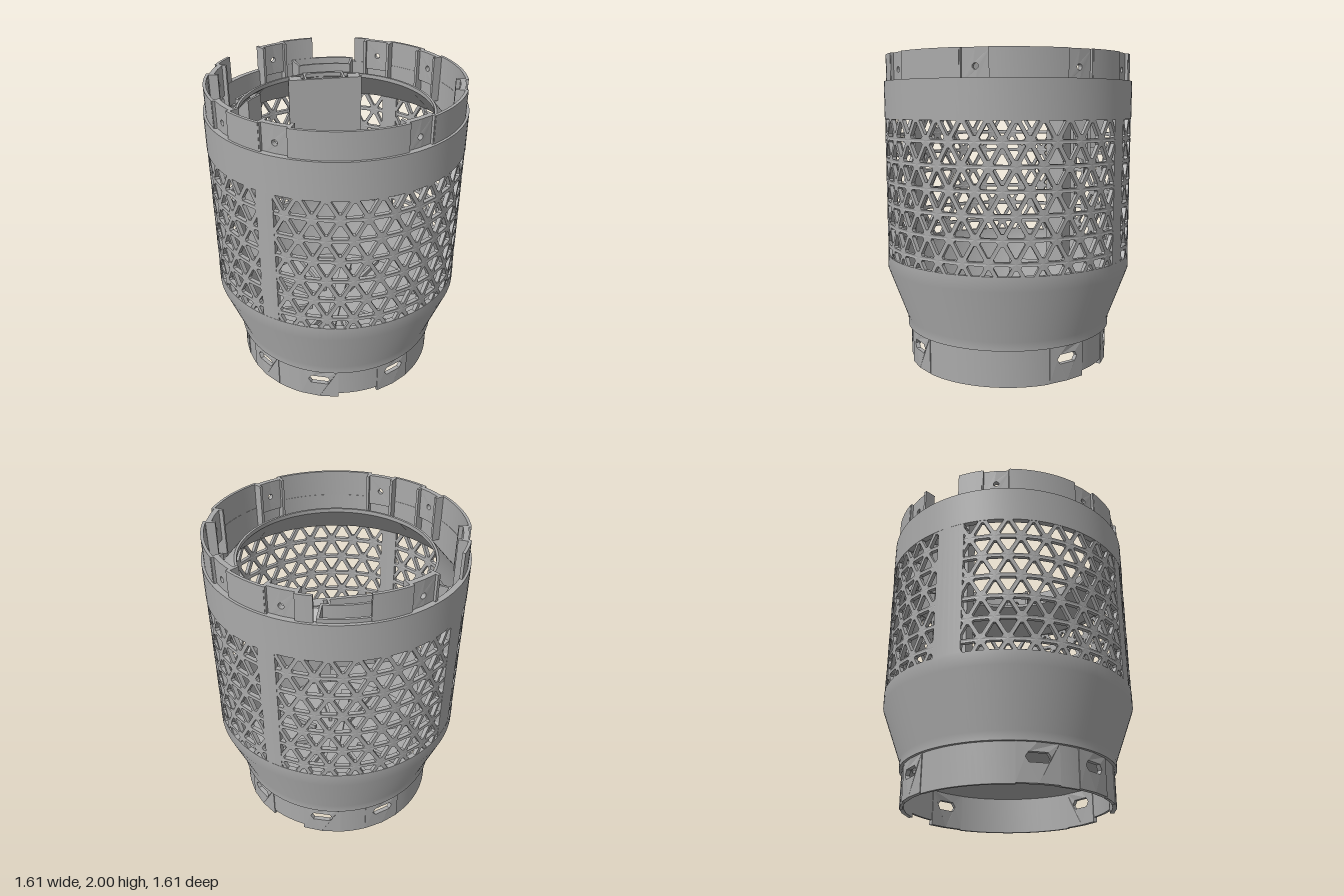
import * as THREE from 'three';
import { mergeGeometries, toCreasedNormals } from 'three/addons/utils/BufferGeometryUtils.js';

// Angles are degrees around y: 0 = front (+z), 90 = +x.
const rad = THREE.MathUtils.degToRad;
const grey = new THREE.MeshStandardMaterial({ color: 0xaaaaaa, side: THREE.DoubleSide });
grey.name = 'plastic grey';

function add(parent, name, geometry) {
  const mesh = new THREE.Mesh(geometry, grey);
  mesh.name = name;
  parent.add(mesh);
  return mesh;
}

// Surface of revolution from a closed [radius, y] profile
function turned(profile, a0 = 0, a1 = 360) {
  const pts = [...profile, profile[0]].map(([r, y]) => new THREE.Vector2(r, y));
  const seg = Math.max(3, Math.ceil((a1 - a0) / 3));
  return toCreasedNormals(new THREE.LatheGeometry(pts, seg, rad(a0), rad(a1 - a0)), 0.5);
}

// Solid curved wall between two radii, two heights and two angles
function arc(r0, r1, y0, y1, a0, a1) {
  const n = Math.max(2, Math.ceil((a1 - a0) / 3)), pts = [];
  for (const [r, dir] of [[r1, 1], [r0, -1]]) {
    for (let i = 0; i <= n; i++) {
      const t = rad(a0 + (a1 - a0) * (dir > 0 ? i : n - i) / n);
      pts.push(new THREE.Vector2(r * Math.sin(t), -r * Math.cos(t)));
    }
  }
  const g = new THREE.ExtrudeGeometry(new THREE.Shape(pts), { depth: y1 - y0, bevelEnabled: false });
  return toCreasedNormals(g.rotateX(-Math.PI / 2).translate(0, y0, 0), 0.5);
}

// Narrow curved plate with one hole, given as [sideways, y] points
function holedPlate(r0, r1, y0, y1, angle, half, hole) {
  const w = r1 * rad(half);
  const shape = new THREE.Shape([[-w, y0], [0, y0], [w, y0], [w, y1], [0, y1], [-w, y1]].map(p => new THREE.Vector2(...p)));
  shape.holes.push(new THREE.Path(hole.map(p => new THREE.Vector2(...p))));
  const g = new THREE.ExtrudeGeometry(shape, { depth: r1 - r0, bevelEnabled: false });
  const p = g.attributes.position;
  for (let i = 0; i < p.count; i++) {
    const t = rad(angle) + p.getX(i) / r1, r = r0 + p.getZ(i);
    p.setXYZ(i, r * Math.sin(t), p.getY(i), r * Math.cos(t));
  }
  g.computeVertexNormals();
  return g;
}

// Triangular lattice wrapped around the cylinder, 32 nodes per row
function latticeGeometry(rIn, rOut) {
  const count = 32, rows = 7, y0 = 0.6515, dy = 0.1385, step = Math.PI * 2 / count;
  const pos = [];
  const at = ([t, y], r) => [r * Math.sin(t), y, r * Math.cos(t)];
  const quad = (a, b, c, d) => pos.push(...a, ...b, ...c, ...a, ...c, ...d);
  const mix = (a, b, k) => [a[0] + (b[0] - a[0]) * k, a[1] + (b[1] - a[1]) * k];
  function cell(corners) {
    const c = [0, 1].map(i => (corners[0][i] + corners[1][i] + corners[2][i]) / 3);
    const inner = corners.map(p => mix(c, p, 0.74));
    const outerLoop = [], holeLoop = [];
    for (let i = 0; i < 3; i++) {
      const j = (i + 1) % 3;
      for (const k of [0.12, 0.88]) {
        outerLoop.push(mix(corners[i], corners[j], k < 0.5 ? 0 : 1));
        holeLoop.push(mix(inner[i], inner[j], k));
      }
    }
    for (let i = 0; i < 6; i++) {
      const j = (i + 1) % 6;
      const [A, B, C, D] = [outerLoop[i], outerLoop[j], holeLoop[j], holeLoop[i]];
      quad(at(A, rOut), at(B, rOut), at(C, rOut), at(D, rOut));
      quad(at(D, rIn), at(C, rIn), at(B, rIn), at(A, rIn));
      quad(at(D, rOut), at(C, rOut), at(C, rIn), at(D, rIn));
    }
  }
  for (let k = 0; k < rows; k++) {
    const shift = k % 2 ? 0.5 : 0, lo = y0 + k * dy, hi = lo + dy;
    for (let i = 0; i < count; i++) {
      const t = (i + shift) * step;
      cell([[t, lo], [t + step, lo], [t + step / 2, hi]]);
      cell([[t + step, lo], [t + step * 1.5, hi], [t + step / 2, hi]]);
    }
  }
  const g = new THREE.BufferGeometry();
  g.setAttribute('position', new THREE.Float32BufferAttribute(pos, 3));
  g.computeVertexNormals();
  return g;
}

export function createModel() {
  const model = new THREE.Group();
  model.name = 'latticeHousing';

  // Lower funnel, lattice and upper band
  add(model, 'lowerFunnel', turned([[0.64, 0.235], [0.68, 0.235], [0.68, 0.29], [0.805, 0.63],
    [0.805, 0.72], [0.775, 0.72], [0.775, 0.64], [0.655, 0.3]]));
  add(model, 'lattice', latticeGeometry(0.778, 0.803));
  add(model, 'upperBand', turned([[0.77, 1.6], [0.805, 1.6], [0.805, 1.835], [0.77, 1.835]]));
  for (const [a0, a1] of [[-24, -16], [156, 164], [243, 256]])
    add(model, 'solidColumn', arc(0.773, 0.804, 0.7, 1.62, a0, a1));

  // Sloping shelf, left open over the two ducts
  const shelf = rEdge => {
    const k = (0.77 - rEdge) / 0.155;
    return [[rEdge, 1.6 + 0.185 * k], [rEdge, 1.625 + 0.185 * k], [0.615, 1.81], [0.6, 1.81], [0.6, 1.785]];
  };
  for (const [r, a0, a1] of [[0.77, -104, 181], [0.77, 213, 243], [0.655, 181, 213], [0.64, 243, 256]])
    add(model, 'innerShelf', turned(shelf(r), a0, a1));
  add(model, 'shelfRimBehindDuct', turned([[0.715, 1.6], [0.77, 1.6], [0.77, 1.68], [0.715, 1.7]], 243, 256));

  // Curved duct at the back and narrow duct at the side
  const duct = (name, r0, r1, y0, y1, a0, a1) => add(model, name, mergeGeometries([
    arc(r0, r0 + 0.015, y0, y1, a0, a1),
    arc(r1 - 0.015, r1, y0, y1, a0, a1),
    arc(r0, r1, y0, y1, a0, a0 + 1.2),
    arc(r0, r1, y0, y1, a1 - 1.2, a1),
  ]));
  duct('backDuct', 0.64, 0.785, 1.61, 1.86, 181, 213);
  duct('sideDuct', 0.625, 0.725, 0.5, 1.74, 243, 256);

  // Top rim with gaps, and recessed clips with screw holes
  const rim = [[-8.5, 38.5], [51.5, 83.5], [96.5, 128.5], [141.5, 160.5], [173.5, 180],
    [202, 218.5], [252, 263.5], [276.5, 308.5], [321.5, 338.5]];
  for (const [a0, a1] of rim) add(model, 'topRim', arc(0.772, 0.79, 1.83, 2, a0, a1));
  const screwHole = [];
  for (let i = 0; i < 12; i++)
    screwHole.push([0.018 * Math.cos(i * Math.PI / 6), 1.897 + 0.018 * Math.sin(i * Math.PI / 6)]);
  for (const a of [-15, 45, 90, 135, 167, 225, 270, 315]) {
    const clip = new THREE.Group();
    clip.name = 'topClip';
    add(clip, 'clipPlate', holedPlate(0.74, 0.772, 1.8, 2, a, 6.6, screwHole));
    for (const s of [-1, 1])
      add(clip, 'clipCheek', arc(0.715, 0.788, 1.7, 2, a + s * 6.6 - 0.7, a + s * 6.6 + 0.7));
    model.add(clip);
  }

  // Bottom skirt: slotted plates joined by plain arcs, with two foot notches
  const slots = [0, 45, 137, 180, 217, 290, 323], half = 11;
  const slotHole = [[-0.075, 0.15], [-0.055, 0.12], [0.055, 0.12], [0.075, 0.15], [0.055, 0.18], [-0.055, 0.18]];
  slots.forEach((a, i) => {
    add(model, 'skirtSlotPlate', holedPlate(0.638, 0.665, 0.005, 0.24, a, half, slotHole));
    const a0 = a + half, a1 = (i + 1 < slots.length ? slots[i + 1] : 360) - half;
    if (a1 > a0) add(model, 'skirtWall', arc(0.642, 0.66, a === 0 || a === 137 ? 0.035 : 0, 0.24, a0, a1));
  });

  // Floor with drain holes, cable slot and side opening
  const disc = new THREE.Shape().absarc(0, 0, 0.66, 0, Math.PI * 2);
  for (const y of [-0.45, 0.45]) disc.holes.push(new THREE.Path().absarc(0, y, 0.045, 0, Math.PI * 2));
  const cut = pts => disc.holes.push(new THREE.Path(pts.map(([x, z]) => new THREE.Vector2(x, -z))));
  cut([[-0.28, -0.52], [-0.27, -0.57], [-0.08, -0.59], [-0.07, -0.53]]);
  cut([[-0.59, -0.2], [-0.52, -0.13], [-0.52, 0.13], [-0.59, 0.13]]);
  const floor = new THREE.ExtrudeGeometry(disc, { depth: 0.025, bevelEnabled: false, curveSegments: 60 });
  add(model, 'floor', floor.rotateX(-Math.PI / 2).translate(0, 0.235, 0));
  add(model, 'floorBar', new THREE.BoxGeometry(0.075, 0.03, 1.02)).position.set(0, 0.27, 0.01);
  for (const a of [22.5, 67.5, 112.5, 157.5, 217, 247.5, 292.5, 337.5]) {
    const rib = add(model, 'floorRib', new THREE.BoxGeometry(0.022, 0.04, 0.44));
    rib.position.set(0.4 * Math.sin(rad(a)), 0.275, 0.4 * Math.cos(rad(a)));
    rib.rotation.y = rad(a);
  }
  // Steep guide over the side opening
  const guide = add(model, 'floorGuide', new THREE.BoxGeometry(0.012, 0.28, 0.3));
  guide.position.set(-0.565, 0.38, -0.02);
  guide.rotation.z = 0.25;

  // Holder hanging inside the opening at the back
  const holder = new THREE.Group();
  holder.name = 'holder';
  holder.position.set(-0.155, 0, -0.47);
  holder.rotation.y = 0.328;
  const part = (name, w, h, d, x, y, z) =>
    add(holder, name, new THREE.BoxGeometry(w, h, d)).position.set(x, y, z);
  part('holderPlate', 0.5, 0.48, 0.02, 0, 1.57, 0);
  part('holderRail', 0.27, 0.3, 0.015, 0, 1.66, -0.115);
  for (const s of [-1, 1]) {
    part('holderSide', 0.015, 0.4, 0.12, s * 0.13, 1.61, -0.06);
    part('holderEar', 0.08, 0.03, 0.06, s * 0.2, 1.795, -0.03);
  }
  const gusset = new THREE.Shape([[0, 1.33], [0.09, 1.33], [0, 1.22]].map(p => new THREE.Vector2(...p)));
  const gussetGeo = new THREE.ExtrudeGeometry(gusset, { depth: 0.02, bevelEnabled: false });
  add(holder, 'holderGusset', gussetGeo).position.set(0.12, 0, -0.01);
  model.add(holder);

  return model;
}
